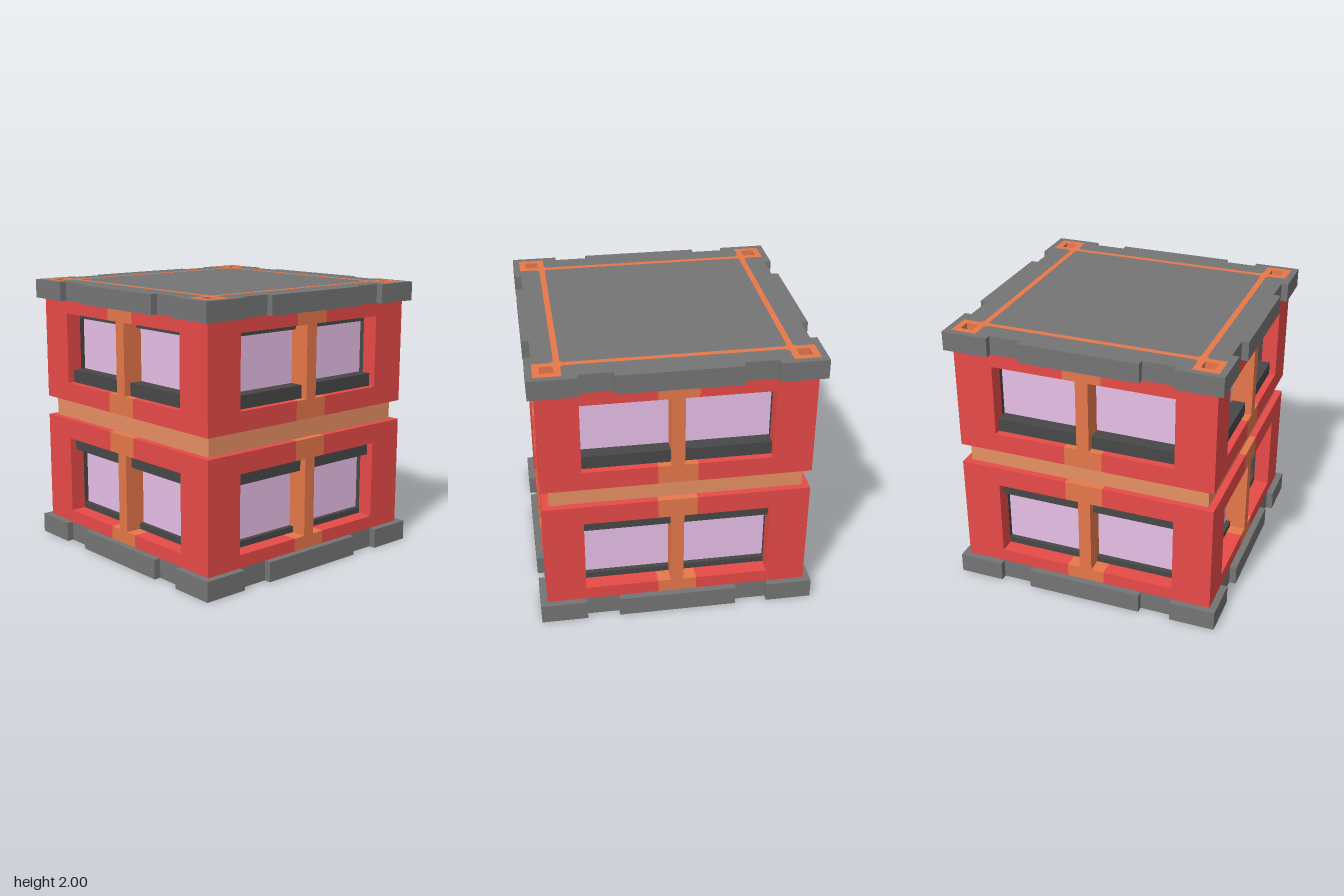
import * as THREE from 'three';

const mat = (name, color) => {
  const m = new THREE.MeshStandardMaterial({ color });
  m.name = name;
  return m;
};

export function createModel() {
  const red = mat('red wall', 0xe84b48);
  const orange = mat('orange trim', 0xe6784a);
  const tan = mat('tan band', 0xe99163);
  const grey = mat('grey slab', 0x757575);
  const dark = mat('dark frame', 0x484848);
  const lilac = mat('lilac glass', 0xebc2eb);

  const model = new THREE.Group();
  model.name = 'twoStoreyBlock';

  const add = (parent, name, geometry, material) => {
    const mesh = new THREE.Mesh(geometry, material);
    mesh.name = name;
    parent.add(mesh);
    return mesh;
  };
  // Box given by its minimum and maximum on each axis
  const box = (parent, name, material, x0, x1, y0, y1, z0, z1) => {
    const mesh = add(parent, name, new THREE.BoxGeometry(x1 - x0, y1 - y0, z1 - z0), material);
    mesh.position.set((x0 + x1) / 2, (y0 + y1) / 2, (z0 + z1) / 2);
    return mesh;
  };
  const toShape = (points) => new THREE.Shape(points.map(([x, y]) => new THREE.Vector2(x, y)));
  const square = (cx, cy, h) =>
    [[cx - h, cy - h], [cx + h, cy - h], [cx + h, cy + h], [cx - h, cy + h]];
  // Plan shape raised upwards from y0 to y1
  const raise = (shape, y0, y1) =>
    new THREE.ExtrudeGeometry(shape, { depth: y1 - y0, bevelEnabled: false })
      .rotateX(-Math.PI / 2).translate(0, y0, 0);

  // Notched slab outline: one edge turned four times
  const edge = [[-1, -1], [-0.665, -1], [-0.665, -0.95], [-0.43, -0.95], [-0.43, -1],
    [0.43, -1], [0.43, -0.95], [0.665, -0.95], [0.665, -1]];
  const outline = [];
  for (let k = 0; k < 4; k++) {
    const c = Math.round(Math.cos(k * Math.PI / 2)), s = Math.round(Math.sin(k * Math.PI / 2));
    edge.forEach(([x, y]) => outline.push([c * x - s * y, s * x + c * y]));
  }
  add(model, 'baseSlab', raise(toShape(outline), 0, 0.145), grey);

  // Roof slab with four square corner sockets
  const socket = 0.86;
  const roof = toShape(outline);
  for (const sx of [-1, 1]) for (const sy of [-1, 1]) {
    roof.holes.push(toShape(square(sx * socket, sy * socket, 0.093)));
    const ring = toShape(square(sx * socket, sy * socket, 0.093));
    ring.holes.push(toShape(square(sx * socket, sy * socket, 0.046)));
    add(model, 'cornerSocket', raise(ring, 1.86, 2), orange);
    box(model, 'socketFloor', dark, sx * socket - 0.046, sx * socket + 0.046, 1.87, 1.95,
      sy * socket - 0.046, sy * socket + 0.046);
  }
  add(model, 'roofSlab', raise(roof, 1.86, 1.999), grey);

  // Floor structure and the recessed band between storeys
  box(model, 'middleBand', tan, -0.9, 0.9, 0.955, 1.1, -0.9, 0.9);
  box(model, 'lowerCeiling', dark, -0.9, 0.9, 0.715, 0.955, -0.9, 0.9);
  box(model, 'upperFloor', dark, -0.9, 0.9, 1.1, 1.335, -0.9, 0.9);

  // Wall heights, window opening, glass and frame rail for each storey
  const storeys = [
    { name: 'lower', y: [0.145, 0.955], open: [0.24, 0.81], glass: [0.285, 0.715], frame: [0.145, 0.285] },
    { name: 'upper', y: [1.1, 1.86], open: [1.24, 1.765], glass: [1.335, 1.72], frame: [1.72, 1.86] },
  ];
  const outer = 0.95, inner = 0.835, pane = 0.8;
  const stripe = 0.14, jamb = 0.665, post = 0.046;

  const buildSide = () => {
    const side = new THREE.Group();
    side.name = 'wallSide';
    for (const { name, y, open, glass, frame } of storeys) {
      for (const s of [-1, 1]) {
        // C-shaped red wall around each window
        const c = toShape([[stripe, y[0]], [outer, y[0]], [outer, y[1]], [stripe, y[1]],
          [stripe, open[1]], [jamb, open[1]], [jamb, open[0]], [stripe, open[0]]]
          .map(([px, py]) => [s * px, py]));
        const wall = new THREE.ExtrudeGeometry(c, { depth: outer - inner, bevelEnabled: false });
        add(side, name + 'Wall', wall.translate(0, 0, inner), red);
        box(side, name + 'WindowJamb', dark, Math.min(s * jamb, s * inner), Math.max(s * jamb, s * inner),
          y[0], y[1], pane - 0.01, inner);
      }
      // Orange centre stripe and window post
      box(side, name + 'StripeBelow', orange, -stripe, stripe, y[0], open[0], inner, outer);
      box(side, name + 'StripeAbove', orange, -stripe, stripe, open[1], y[1], inner, outer);
      box(side, name + 'WindowPost', orange, -post, post, open[0], open[1], pane - 0.005, outer);
      // Frame rail and glass
      box(side, name + 'WindowRail', dark, -jamb, jamb, frame[0], frame[1], pane - 0.01, inner);
      box(side, name + 'Glass', lilac, -jamb, jamb, glass[0], glass[1], pane - 0.009, pane);
    }
    // Thin roof line, flared where it meets the sockets
    const line = toShape([[-0.767, -0.83], [-0.745, -0.807], [0.745, -0.807], [0.767, -0.83],
      [0.767, -0.767], [0.77, -0.745], [0.745, -0.765], [-0.745, -0.765], [-0.77, -0.745], [-0.767, -0.767]]);
    add(side, 'roofLine', raise(line, 1.995, 2), orange);
    return side;
  };
  for (let k = 0; k < 4; k++) {
    const side = buildSide();
    side.rotation.y = k * Math.PI / 2;
    model.add(side);
  }
  return model;
}
